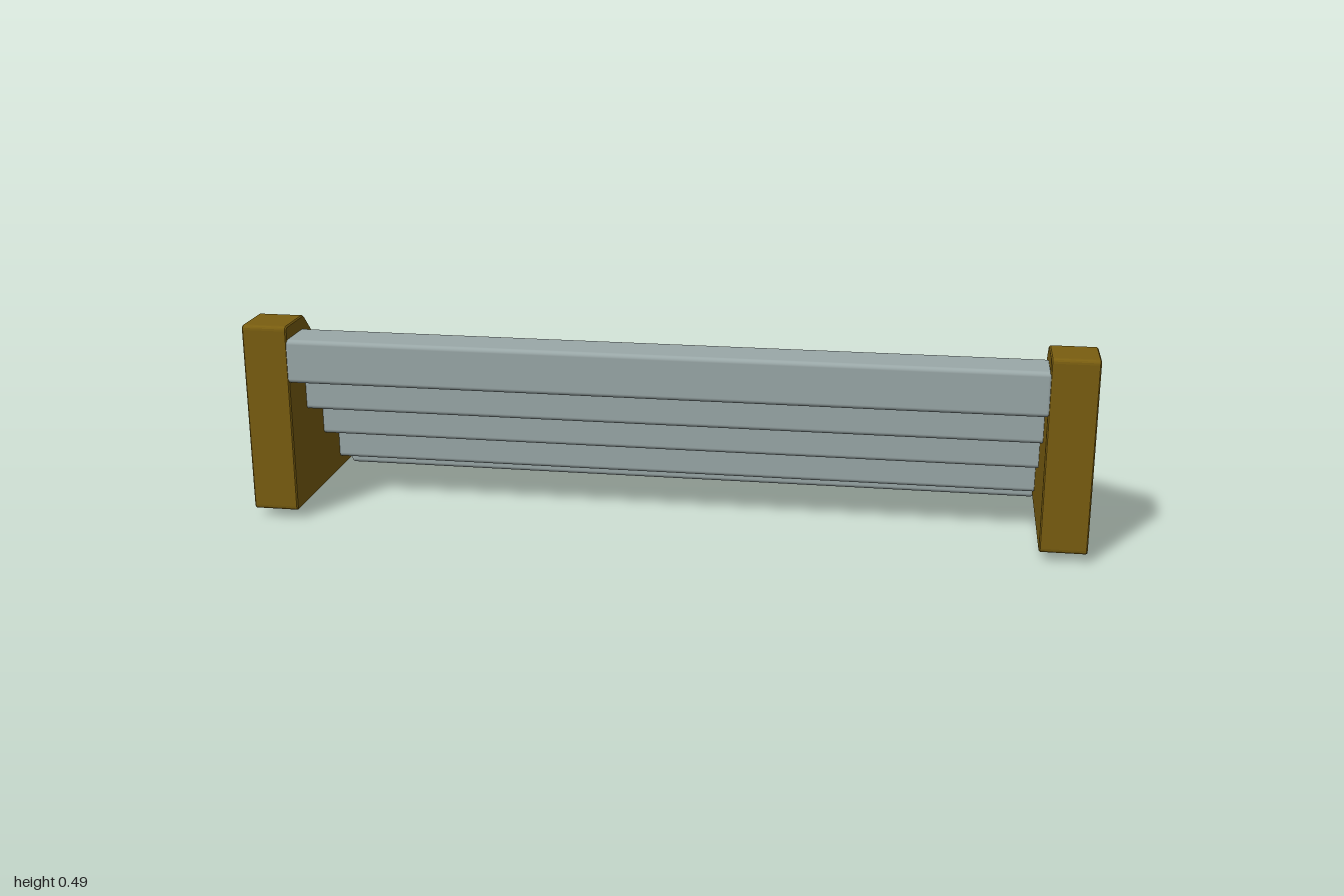
import * as THREE from 'three';
import { RoundedBoxGeometry } from 'three/addons/geometries/RoundedBoxGeometry.js';

const brown = new THREE.MeshStandardMaterial({ color: 0x7a5e10 });
brown.name = 'brown wood';
const grey = new THREE.MeshStandardMaterial({ color: 0x9aa8a8 });
grey.name = 'grey tread';

// Polygon outline with softened corners, points as [z, y]
function softShape(points, cut) {
  const v = points.map(([a, b]) => new THREE.Vector2(a, b));
  const shape = new THREE.Shape();
  v.forEach((p, i) => {
    const prev = v[(i + v.length - 1) % v.length];
    const next = v[(i + 1) % v.length];
    const a = p.clone().add(prev.clone().sub(p).setLength(cut));
    const b = p.clone().add(next.clone().sub(p).setLength(cut));
    if (i === 0) shape.moveTo(a.x, a.y);
    else shape.lineTo(a.x, a.y);
    shape.quadraticCurveTo(p.x, p.y, b.x, b.y);
  });
  shape.closePath();
  return shape;
}

export function createModel() {
  const model = new THREE.Group();
  model.name = 'stepBench';

  // Sloping side panels with slightly eased edges
  const width = 0.11, bevel = 0.003;
  const panelGeometry = new THREE.ExtrudeGeometry(
    softShape([[0.29, 0.022], [0.29, 0.487], [0.169, 0.487], [-0.296, 0.022]], 0.011),
    { depth: width - 2 * bevel, bevelThickness: bevel, bevelSize: bevel,
      bevelOffset: -bevel, bevelSegments: 1, curveSegments: 4 });
  panelGeometry.translate(0, 0, -(width / 2 - bevel));
  panelGeometry.rotateY(-Math.PI / 2);
  for (const side of [-1, 1]) {
    const panel = new THREE.Mesh(panelGeometry, brown);
    panel.name = side > 0 ? 'leftPanel' : 'rightPanel';
    panel.position.x = side * (1 - width / 2);
    model.add(panel);
  }

  // Five rounded steps rising from back to front, the lowest one half height
  const levels = [0, 0.059, 0.158, 0.256, 0.354, 0.455];
  for (let i = 0; i < 5; i++) {
    const bottom = i === 0 ? 0 : levels[i] - 0.006;
    const top = levels[i + 1];
    const step = new THREE.Mesh(
      new RoundedBoxGeometry(1.796, top - bottom, 0.114, 3, 0.011), grey);
    step.name = 'step' + (i + 1);
    step.position.set(0, (top + bottom) / 2, -0.191 + i * 0.1062);
    model.add(step);
  }
  return model;
}
